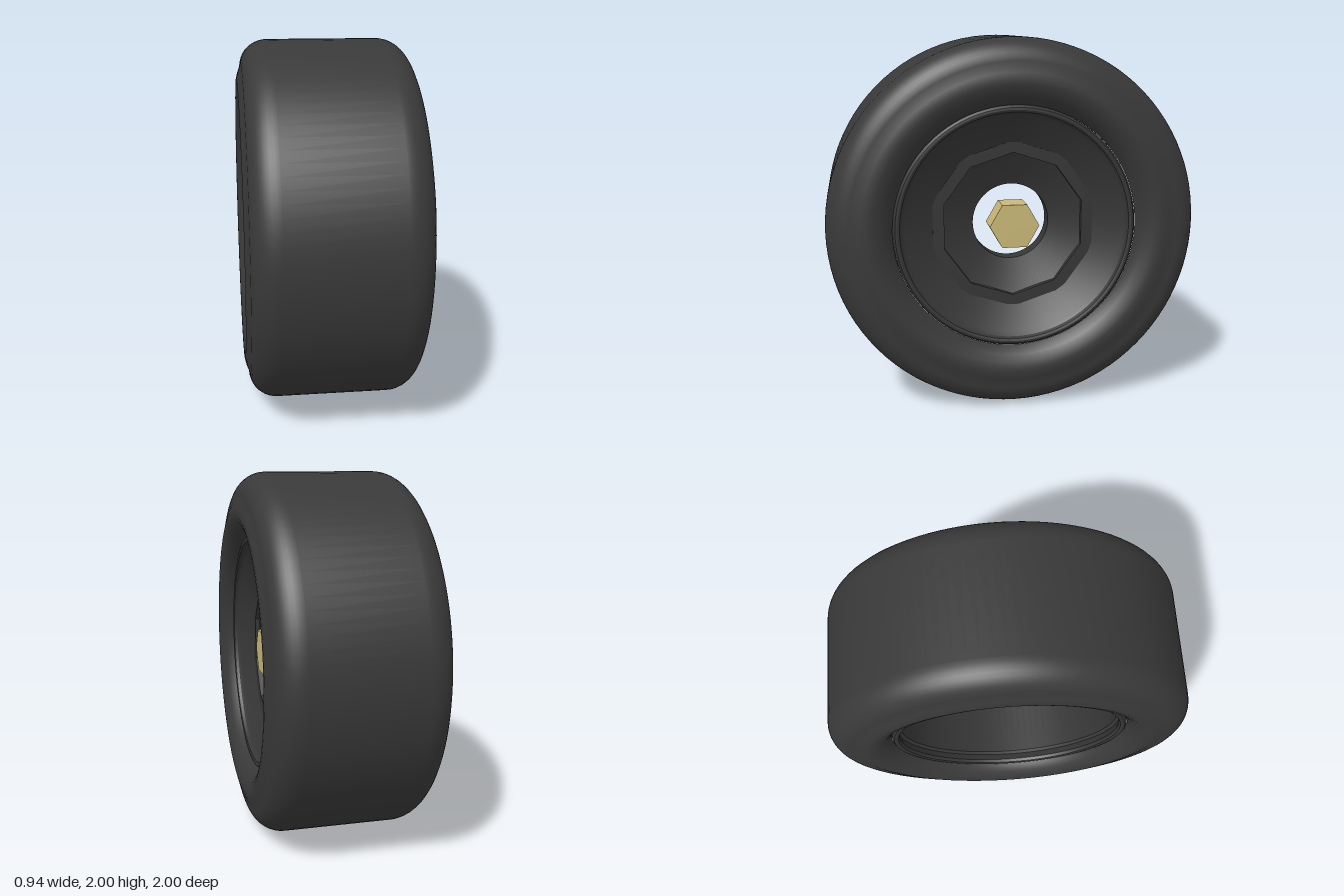
import * as THREE from 'three';
import { toCreasedNormals } from 'three/addons/utils/BufferGeometryUtils.js';

const mat = (name, color) => new THREE.MeshStandardMaterial({ name, color });

// Revolve a [radius, x] profile about the wheel's axle (the x axis)
function revolve(name, points, material) {
  const profile = points.map(([r, x]) => new THREE.Vector2(r, x));
  const geometry = toCreasedNormals(new THREE.LatheGeometry(profile, 96), 0.5);
  geometry.rotateZ(-Math.PI / 2);
  const mesh = new THREE.Mesh(geometry, material);
  mesh.name = name;
  return mesh;
}

// Ten-sided ring with a small eared tab on every corner
function tabbedRing(front, back, material) {
  const outer = [], inner = [];
  const tab = [[0.04, 0.447], [0.058, 0.474], [0, 0.462], [-0.058, 0.474], [-0.04, 0.447]];
  for (let i = 0; i < 10; i++) {
    const a = Math.PI / 2 + i * Math.PI / 5, c = Math.cos(a), s = Math.sin(a);
    for (const [t, r] of tab) outer.push(new THREE.Vector2(c * r + s * t, s * r - c * t));
    inner.push(new THREE.Vector2(c * 0.395, s * 0.395));
  }
  const shape = new THREE.Shape(outer);
  shape.holes.push(new THREE.Path(inner.reverse()));
  const geometry = new THREE.ExtrudeGeometry(shape, { depth: front - back, bevelEnabled: false });
  geometry.rotateY(Math.PI / 2);
  const mesh = new THREE.Mesh(geometry, material);
  mesh.position.x = back;
  mesh.name = 'tabbedRing';
  return mesh;
}

export function createModel() {
  const rubber = mat('tyre black', 0x393939);
  const rimBlack = mat('rim black', 0x363636);
  const brass = mat('brass', 0xcab877);
  const wheel = new THREE.Group();
  wheel.name = 'wheel';

  // Tyre: sidewall, shoulder and half the tread, mirrored to the other side
  const half = [[0.655, 0.385], [0.67, 0.41], [0.695, 0.437], [0.73, 0.46], [0.765, 0.471],
    [0.79, 0.472], [0.825, 0.463], [0.86, 0.45]];
  for (let i = 1; i <= 10; i++) {
    const a = i * Math.PI / 20;
    half.push([0.86 + 0.14 * Math.sin(a), 0.30 + 0.15 * Math.cos(a)]);
  }
  const mirrored = half.map(([r, x]) => [r, -x]);
  wheel.add(revolve('tyre', [...mirrored, ...half.slice().reverse()], rubber));

  // Rounded rim lip on each side
  const lip = [[0.655, 0.375], [0.652, 0.39], [0.642, 0.4], [0.63, 0.402], [0.618, 0.397], [0.61, 0.38]];
  wheel.add(revolve('frontLip', lip, rimBlack));
  wheel.add(revolve('rearLip', lip.map(([r, x]) => [r, -x]).reverse(), rimBlack));

  // Dish with centre bore, its back, and the deep open barrel
  wheel.add(revolve('rimDishAndBarrel', [
    [0.61, 0.38], [0.59, 0.36], [0.21, 0.21],
    [0.21, 0.12], [0.235, 0.12], [0.25, 0.18], [0.57, 0.31],
    [0.60, 0.30], [0.605, -0.33], [0.62, -0.345], [0.61, -0.38],
  ], rimBlack));

  wheel.add(tabbedRing(0.305, 0.2, rimBlack));

  // Hexagonal axle nut, corners pointing along z
  const nut = new THREE.Mesh(new THREE.CylinderGeometry(0.135, 0.135, 0.15, 6).toNonIndexed(), brass);
  nut.geometry.computeVertexNormals();
  nut.geometry.rotateZ(-Math.PI / 2);
  nut.position.x = 0.27;
  nut.name = 'axleNut';
  wheel.add(nut);

  wheel.position.y = 1;
  const model = new THREE.Group();
  model.add(wheel);
  return model;
}
